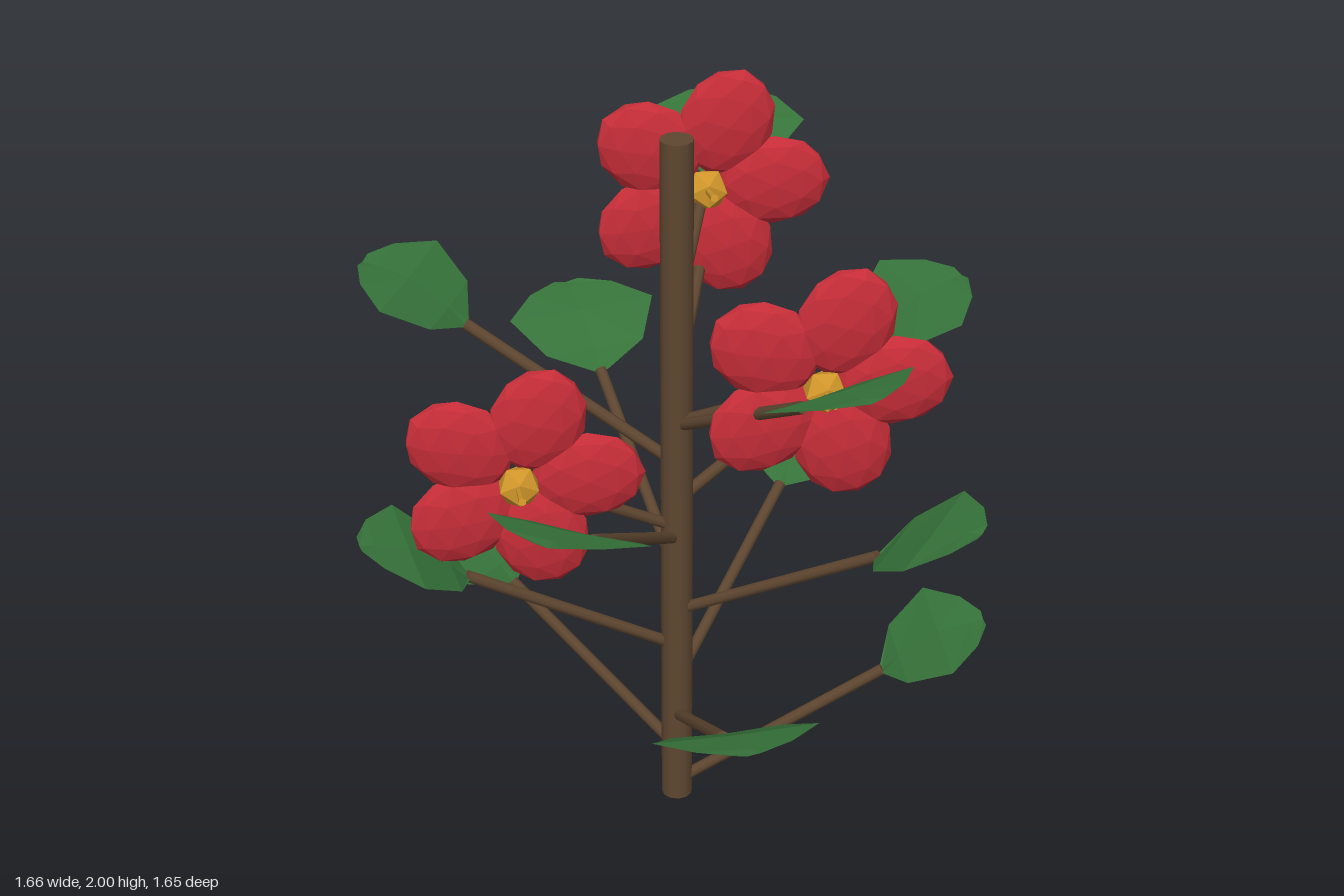
import * as THREE from 'three';

const mat = (name, color, opts = {}) => {
  const m = new THREE.MeshStandardMaterial({ color, ...opts });
  m.name = name;
  return m;
};

// Round rod between two points
function rod(name, a, b, r, material, sides = 8) {
  const dir = b.clone().sub(a);
  const mesh = new THREE.Mesh(new THREE.CylinderGeometry(r, r, dir.length(), sides), material);
  mesh.position.copy(a).add(b).multiplyScalar(0.5);
  mesh.quaternion.setFromUnitVectors(new THREE.Vector3(0, 1, 0), dir.normalize());
  mesh.name = name;
  return mesh;
}

// Leaf blade growing along +x, curling from steep to level: [reach, height, half width]
function leafGeometry() {
  const rows = [
    [0, 0, 0.02], [0.045, 0.048, 0.14], [0.15, 0.118, 0.208],
    [0.235, 0.14, 0.12], [0.275, 0.146, 0.035],
  ];
  const pos = [], idx = [];
  for (const [x, y, w] of rows) pos.push(x, y, -w, x, y - 0.006, 0, x, y, w);
  for (let i = 0; i < rows.length - 1; i++)
    for (let j = 0; j < 2; j++) {
      const a = i * 3 + j, b = a + 1, c = a + 3, d = a + 4;
      idx.push(a, b, c, b, d, c);
    }
  const g = new THREE.BufferGeometry();
  g.setAttribute('position', new THREE.Float32BufferAttribute(pos, 3));
  g.setIndex(idx);
  g.computeVertexNormals();
  return g;
}

export function createModel() {
  const bark = mat('bark brown', 0x5e4630);
  const green = mat('leaf green', 0x36733a, { flatShading: true, side: THREE.DoubleSide });
  const red = mat('petal red', 0xc62d38, { flatShading: true });
  const gold = mat('stamen gold', 0xd0962a, { flatShading: true });
  const V = (x, y, z) => new THREE.Vector3(x, y, z);

  const root = new THREE.Group();
  root.name = 'floweringPlant';
  const cx = -0.01, cz = -0.01;

  // Main stem
  root.add(rod('mainStem', V(cx, 0, cz), V(cx, 1.96, cz), 0.042, bark, 12));

  // Twelve leaf branches spiralling up by the golden angle
  const blade = leafGeometry();
  for (let i = 0; i < 12; i++) {
    const branch = new THREE.Group();
    branch.name = 'leafBranch';
    branch.add(rod('twig', V(0, 0, 0), V(0.563, 0.325, 0), 0.016, bark));
    const leaf = new THREE.Mesh(blade, green);
    leaf.name = 'leaf';
    leaf.position.set(0.56, 0.325, 0);
    branch.add(leaf);
    branch.position.set(cx, 0.035 + 0.113 * i, cz);
    branch.rotation.y = THREE.MathUtils.degToRad(137.5 * i);
    root.add(branch);
  }

  // Three forward-facing flowers: [x, y, z, height where the stalk leaves the stem]
  const petalGeo = new THREE.IcosahedronGeometry(1, 1);
  const heartGeo = new THREE.IcosahedronGeometry(0.057, 0);
  for (const [x, y, z, startY] of [
    [-0.426, 1.106, 0.11, 0.86], [0.308, 1.437, 0.302, 1.175], [0.1, 1.69, -0.326, 1.49],
  ]) {
    root.add(rod('flowerStalk', V(cx, startY, cz), V(x, y, z), 0.015, bark));
    const flower = new THREE.Group();
    flower.name = 'flower';
    flower.position.set(x, y, z);
    for (let k = 0; k < 5; k++) {
      const a = (k / 5) * Math.PI * 2;
      const petal = new THREE.Mesh(petalGeo, red);
      petal.name = 'petal';
      petal.scale.set(0.147, 0.122, 0.041);
      petal.position.set(0.176 * Math.cos(a), 0.176 * Math.sin(a), 0);
      petal.rotation.z = a;
      flower.add(petal);
    }
    const heart = new THREE.Mesh(heartGeo, gold);
    heart.name = 'flowerHeart';
    heart.position.z = 0.036;
    flower.add(heart);
    flower.add(rod('stamen', V(0, 0, 0.03), V(0, 0.045, 0.186), 0.01, gold, 6));
    root.add(flower);
  }
  return root;
}
